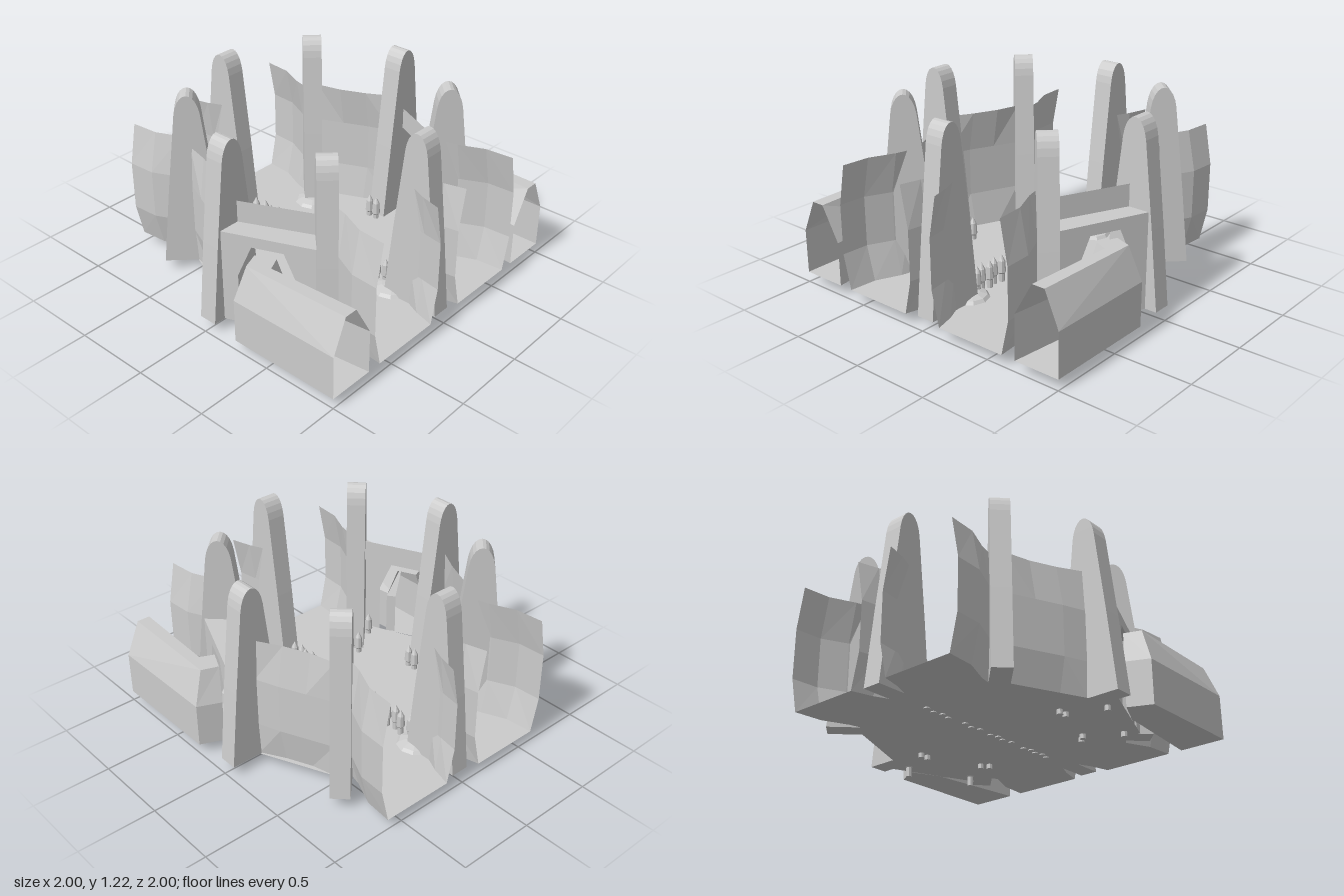
import * as THREE from 'three';

const FLOOR = 0.067;
const grey = new THREE.MeshStandardMaterial({ color: 0xcccccc, flatShading: true, side: THREE.DoubleSide });

function add(parent, name, geometry) {
  const mesh = new THREE.Mesh(geometry, grey);
  mesh.name = name;
  parent.add(mesh);
  return mesh;
}

// Open surface lofted through sections of [x, y, z] points
function loft(sections) {
  const pos = [], n = sections[0].length;
  for (let i = 0; i < sections.length - 1; i++) {
    for (let j = 0; j < n - 1; j++) {
      const a = sections[i][j], b = sections[i + 1][j], c = sections[i + 1][j + 1], d = sections[i][j + 1];
      pos.push(...a, ...b, ...c, ...a, ...c, ...d);
    }
  }
  const g = new THREE.BufferGeometry();
  g.setAttribute('position', new THREE.Float32BufferAttribute(pos, 3));
  g.computeVertexNormals();
  return g;
}

// Flat slab from [x, z] corners
function slab(points) {
  const shape = new THREE.Shape(points.map(([x, z]) => new THREE.Vector2(x, -z)));
  return new THREE.ShapeGeometry(shape).rotateX(-Math.PI / 2).translate(0, FLOOR, 0);
}

// Wall over a plan line of [x, z, bulge]; the middle rows are pushed in x by the bulge
function wall(plan) {
  const rows = [[FLOOR, 0], [0.29, 1], [0.61, 1], [0.873, 0]];
  return loft(plan.map(([x, z, bulge]) => rows.map(([y, k]) => [x + k * bulge, y, z])));
}

// Tapering fin with a rounded top
function ribGeometry() {
  const s = new THREE.Shape();
  s.moveTo(-0.193, FLOOR);
  s.lineTo(0.193, FLOOR);
  s.lineTo(0.14, 0.57);
  s.lineTo(0.078, 1.1);
  s.bezierCurveTo(0.055, 1.265, -0.055, 1.265, -0.078, 1.1);
  s.lineTo(-0.14, 0.57);
  s.closePath();
  return new THREE.ExtrudeGeometry(s, { depth: 0.12, bevelEnabled: false, curveSegments: 10 })
    .translate(0, 0, -0.06);
}

// Everything that repeats on both sides; s is +1 or -1
function buildSide(s) {
  const side = new THREE.Group();
  side.name = s > 0 ? 'leftSide' : 'rightSide';
  const X = (pts) => pts.map(([x, ...rest]) => [s * x, ...rest]);
  const W = (pts) => pts.map(([x, z, b]) => [s * x, z, s * b]);

  // Passage walls at the front and back ends
  for (const e of [1, -1]) {
    add(side, 'outerPassageWall', wall(W([
      [0.605, e, 0.05], [0.59, e * 0.82, 0.055], [0.52, e * 0.66, 0.05], [0.5, e * 0.58, 0.04]])));
    add(side, 'innerPassageWall', wall(W([
      [0.135, e, -0.05], [0.1, e * 0.87, -0.035], [0.06, e * 0.78, -0.01]])));
  }

  // Rear side wall
  add(side, 'rearSideWall', wall(W([
    [0.77, -0.05, 0.01], [0.685, -0.2, 0.04], [0.615, -0.36, 0.04], [0.575, -0.52, 0.01]])));

  // Stepped front side wall: doorway panel, ledge and upper band
  const outer = [[0.9, 0.05], [0.67, 0.6]], inner = [[0.76, 0.06], [0.55, 0.52]];
  const len = Math.hypot(0.23, 0.55), t = (z) => (z - 0.05) / 0.55 * len;
  const panel = new THREE.Shape([
    [0, FLOOR], [t(0.15), FLOOR], [t(0.15), 0.4], [t(0.23), 0.61], [t(0.41), 0.61],
    [t(0.49), 0.4], [t(0.49), FLOOR], [len, FLOOR], [len, 0.68], [0, 0.68],
  ].map(([a, b]) => new THREE.Vector2(a, b)));
  const dir = new THREE.Vector3(-s * 0.23, 0, 0.55).normalize(), up = new THREE.Vector3(0, 1, 0);
  const basis = new THREE.Matrix4().makeBasis(dir, up, dir.clone().cross(up)).setPosition(s * 0.9, 0, 0.05);
  add(side, 'doorwayPanel', new THREE.ShapeGeometry(panel).applyMatrix4(basis));
  add(side, 'doorwayLedge', loft([0, 1].map((i) => X([
    [outer[i][0], 0.68, outer[i][1]], [inner[i][0], 0.68, inner[i][1]], [inner[i][0], 0.82, inner[i][1]]]))));

  // Side tunnel, open at the front and bending in to the doorway
  // Each section: outer foot, outer top, inner top, inner foot as [x, z]
  const bends = [
    [[1, 1], [0.905, 1], [0.82, 1], [0.7, 1]],
    [[1, 0.255], [0.925, 0.29], [0.85, 0.41], [0.77, 0.39]],
    [[0.855, 0.19], [0.82, 0.25], [0.765, 0.37], [0.735, 0.44]],
  ];
  add(side, 'tunnelShell', loft(bends.map(([a, b, c, d]) => X([
    [a[0], FLOOR, a[1]], [a[0], 0.35, a[1]], [b[0], 0.565, b[1]],
    [c[0], 0.565, c[1]], [d[0], 0.35, d[1]], [d[0], FLOOR, d[1]]]))));
  add(side, 'tunnelFloor', slab(X([
    [0.7, 1], [1, 1], [1, 0.255], [0.855, 0.19], [0.735, 0.44], [0.77, 0.39]])));
  return side;
}

export function createModel() {
  const model = new THREE.Group();
  model.name = 'ribbedHall';

  // Floor, notched at the end ribs
  const half = [
    [0.06, 0.78], [0.1, 0.87], [0.135, 1], [0.605, 1], [0.59, 0.82], [0.52, 0.66], [0.58, 0.58],
    [0.68, 0.58], [0.9, 0.05], [0.78, -0.05], [0.575, -0.52], [0.5, -0.58], [0.52, -0.66],
    [0.59, -0.82], [0.605, -1], [0.135, -1], [0.1, -0.87], [0.06, -0.78]];
  add(model, 'floor', slab([...half, ...half.map(([x, z]) => [-x, z]).reverse()]));

  for (const s of [1, -1]) model.add(buildSide(s));

  // Ring of eight ribs
  const rib = ribGeometry();
  for (let i = 0; i < 8; i++) {
    const a = i * Math.PI / 4;
    const mesh = add(model, 'rib', rib);
    mesh.position.set(0.782 * Math.cos(a), 0, -0.782 * Math.sin(a));
    mesh.rotation.y = a;
  }

  // Low mounds at the feet of some ribs
  for (const [x, z] of [[0, -0.61], [0, 0.6], [0.44, -0.44], [-0.44, -0.44]]) {
    const mound = add(model, 'mound', new THREE.SphereGeometry(0.125, 10, 3, 0, Math.PI * 2, 0, Math.PI / 2));
    mound.scale.y = 0.3;
    mound.position.set(x, FLOOR, z);
  }

  // Pointed floor lights
  const profile = [[0, 0], [0.019, 0], [0.019, 0.06], [0.027, 0.07], [0.022, 0.145], [0, 0.188]]
    .map(([r, y]) => new THREE.Vector2(r, y));
  const spike = new THREE.LatheGeometry(profile, 8);
  const place = (x, y, z) => add(model, 'floorLight', spike).position.set(x, y, z);
  const row = [-0.55, -0.48, -0.42, -0.36, -0.23, -0.16, -0.1, 0.01, 0.065, 0.12, 0.19, 0.32, 0.375, 0.43, 0.485, 0.54];
  row.forEach((z, i) => place(i % 2 ? 0.01 : -0.005, 0.06, z));
  for (const s of [1, -1]) {
    for (const [x, z] of [[0.55, -0.03], [0.55, 0.025], [0.41, 0.37], [0.37, 0.41]]) place(s * x, 0.037, z);
    // Pair beside each doorway
    for (const [x, z] of [[0.79, 0.1], [0.62, 0.5]]) place(s * x, s > 0 ? 0 : 0.035, z);
  }
  return model;
}
